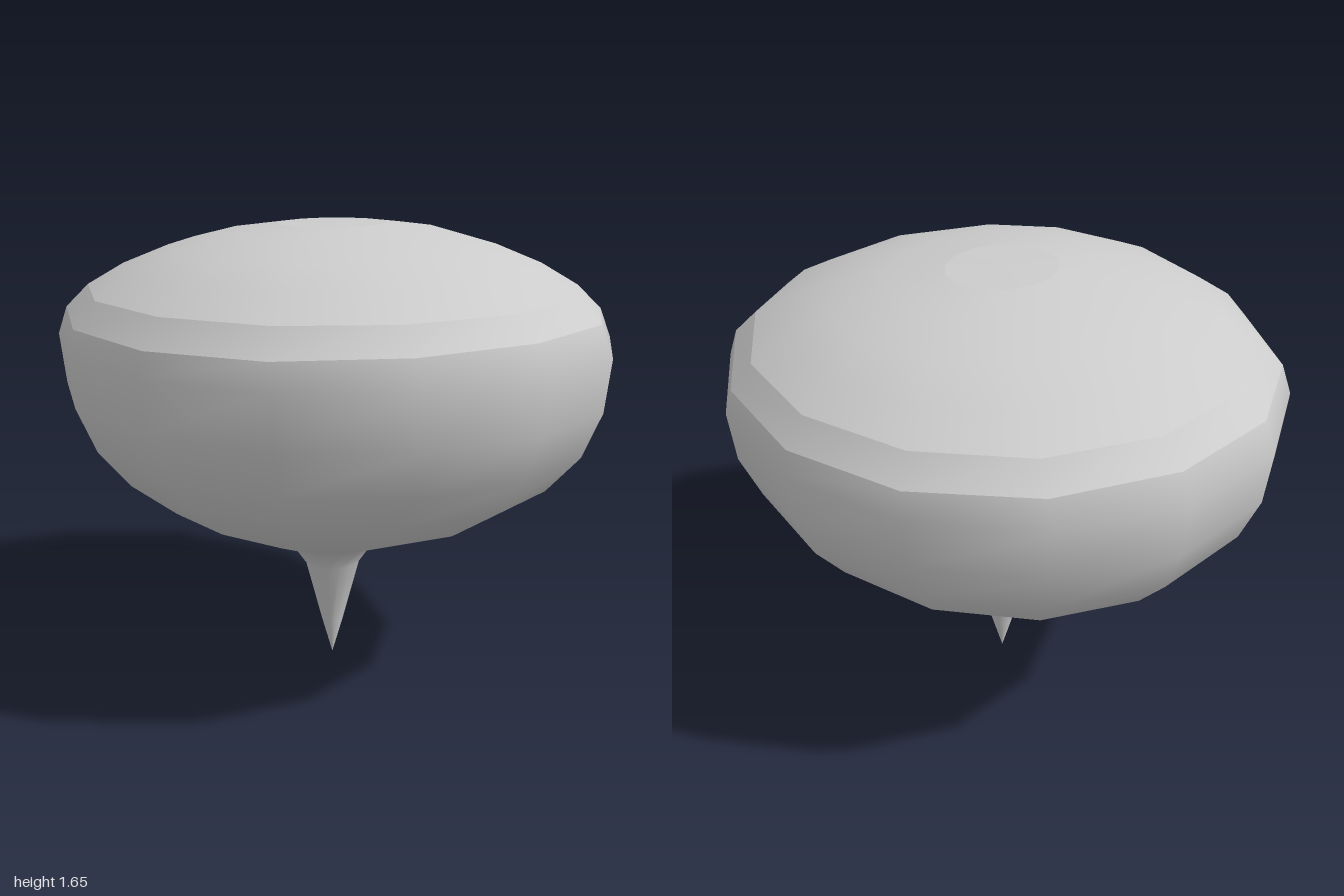
import * as THREE from 'three';

const SIDES = 14;
const material = new THREE.MeshStandardMaterial({ color: 0xcccccc });

// Rings run bottom to top as [x radius, z radius, height at the sides, height at front and back]
const TIP = [0, 0, 0, 0];
const SHOULDER = [0.98, 0.93, 1.355, 1.325];
const DOME_EDGE = [0.887, 0.86, 1.43, 1.42];
const CAP_EDGE = [0.185, 0.205, 1.645, 1.645];

// Smooth skin through a stack of elliptical rings; a zero radius closes to a point
function ringSkin(name, rings) {
  const positions = [];
  const indices = [];
  for (const [rx, rz, ySide, yFront] of rings) {
    for (let i = 0; i < SIDES; i++) {
      const a = (i / SIDES) * Math.PI * 2;
      const s = Math.sin(a), c = Math.cos(a);
      positions.push(rx * s, ySide * s * s + yFront * c * c, rz * c);
    }
  }
  for (let r = 0; r < rings.length - 1; r++) {
    for (let i = 0; i < SIDES; i++) {
      const j = (i + 1) % SIDES;
      const a = r * SIDES + i, b = r * SIDES + j;
      const d = a + SIDES, e = b + SIDES;
      if (rings[r][0] > 0) indices.push(a, b, e);
      if (rings[r + 1][0] > 0) indices.push(a, e, d);
      else if (rings[r][0] === 0) indices.push(a, e, d);
    }
  }
  const geometry = new THREE.BufferGeometry();
  geometry.setAttribute('position', new THREE.Float32BufferAttribute(positions, 3));
  geometry.setIndex(indices);
  geometry.computeVertexNormals();
  const mesh = new THREE.Mesh(geometry, material);
  mesh.name = name;
  return mesh;
}

export function createModel() {
  const group = new THREE.Group();
  group.name = 'spinningTop';

  // Pointed foot flaring into the round belly
  group.add(ringSkin('body', [
    TIP,
    [0.04, 0.04, 0.14, 0.14],
    [0.103, 0.1, 0.38, 0.37],
    [0.152, 0.157, 0.45, 0.45],
    [0.28, 0.29, 0.505, 0.505],
    [0.635, 0.6, 0.645, 0.645],
    [0.82, 0.75, 0.765, 0.765],
    [0.94, 0.86, 0.9, 0.9],
    [1.005, 0.93, 1.06, 1.06],
    [1.026, 0.95, 1.245, 1.24],
    SHOULDER,
  ]));

  // Bevel between belly and dome
  group.add(ringSkin('shoulderBand', [SHOULDER, DOME_EDGE]));

  // Shallow dome on top
  group.add(ringSkin('dome', [
    DOME_EDGE,
    [0.745, 0.745, 1.505, 1.5],
    [0.57, 0.6, 1.572, 1.565],
    [0.39, 0.41, 1.617, 1.62],
    CAP_EDGE,
  ]));

  // Flat disc closing the dome
  group.add(ringSkin('topCap', [CAP_EDGE, [0, 0, 1.648, 1.648]].map((r) => r.slice())));

  return group;
}
